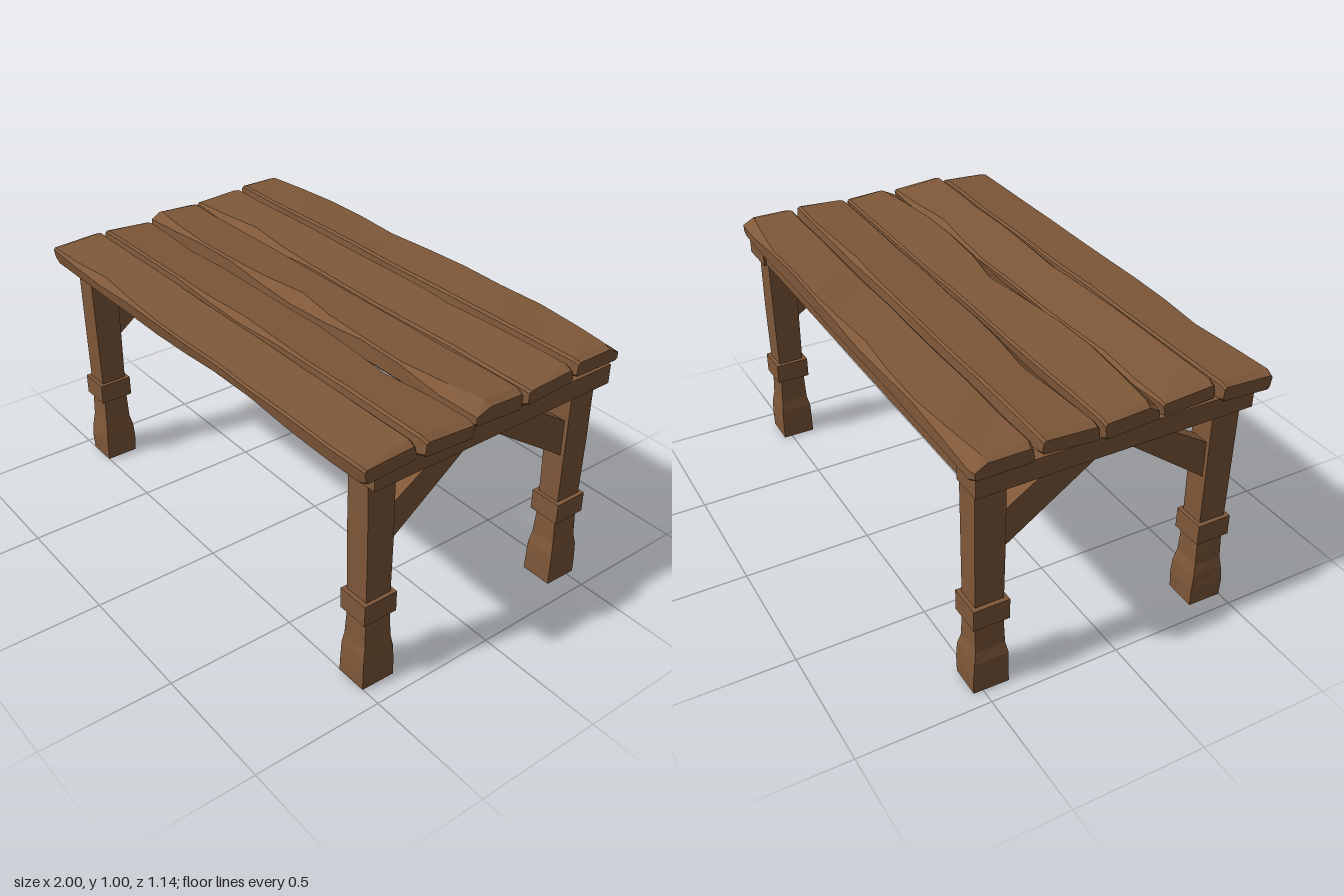
import * as THREE from 'three';

const wood = new THREE.MeshStandardMaterial({ color: 0x7f5839, flatShading: true, roughness: 0.9 });

// Small seeded generator for hand-hewn unevenness
function seeded(seed) {
  let s = seed;
  return (amount) => {
    s = (s * 16807) % 2147483647;
    return (s / 2147483647 - 0.5) * 2 * amount;
  };
}

// Skin a list of equal-length rings (counterclockwise seen from the end) and cap both ends
function loft(rings) {
  const pos = [];
  const tri = (a, b, c) => pos.push(...a, ...b, ...c);
  const n = rings[0].length;
  for (let i = 0; i < rings.length - 1; i++) {
    for (let j = 0; j < n; j++) {
      const k = (j + 1) % n;
      const a = rings[i][j], b = rings[i][k], c = rings[i + 1][k], d = rings[i + 1][j];
      tri(a, b, c);
      tri(a, c, d);
    }
  }
  const first = rings[0], last = rings[rings.length - 1];
  for (let j = 1; j < n - 1; j++) {
    tri(first[0], first[j + 1], first[j]);
    tri(last[0], last[j], last[j + 1]);
  }
  const g = new THREE.BufferGeometry();
  g.setAttribute('position', new THREE.Float32BufferAttribute(pos, 3));
  g.computeVertexNormals();
  return g;
}

function add(parent, name, geometry) {
  const mesh = new THREE.Mesh(geometry, wood);
  mesh.name = name;
  parent.add(mesh);
  return mesh;
}

function addBox(parent, name, x0, x1, y0, y1, z0, z1) {
  add(parent, name, new THREE.BoxGeometry(x1 - x0, y1 - y0, z1 - z0))
    .position.set((x0 + x1) / 2, (y0 + y1) / 2, (z0 + z1) / 2);
}

// Plank: a tilted four-cornered section swept along x, with bevelled ends and chipped top edges.
// corners are [z, y]: bottom front, bottom back, top back, top front; chips are [x, corner, depth]
function plankGeometry(x0, x1, corners, chips, seed) {
  const rnd = seeded(seed);
  const cz = corners.reduce((s, c) => s + c[0], 0) / 4;
  const cy = corners.reduce((s, c) => s + c[1], 0) / 4;
  const stations = [x0, x0 + 0.03];
  for (let x = -0.8; x < 0.9; x += 0.2) stations.push(x);
  stations.push(x1 - 0.03, x1);
  const rings = stations.map((x, i) => {
    const end = i === 0 || i === stations.length - 1;
    const quad = corners.map(([z, y]) => end
      ? [cz + (z - cz) * 0.95, cy + (y - cy) * 0.72]
      : [z + rnd(0.003), y + rnd(0.002)]);
    const ring = [];
    quad.forEach((p, k) => {
      let cut = 0.008;
      for (const [chipX, corner, depth] of chips) {
        if (corner === k) cut += depth * Math.max(0, 1 - Math.abs(x - chipX) / 0.3);
      }
      for (const step of [3, 1]) {
        const q = quad[(k + step) % 4];
        const len = Math.hypot(q[0] - p[0], q[1] - p[1]);
        const t = Math.min(cut, len * 0.45) / len;
        ring.push([x, p[1] + (q[1] - p[1]) * t, p[0] + (q[0] - p[0]) * t]);
      }
    });
    return ring;
  });
  return loft(rings);
}

// Leg: square post swelling into a heavy foot; profile is [y, half width x, half width z]
const legProfile = [
  [0, 0.062, 0.066], [0.07, 0.062, 0.067], [0.13, 0.06, 0.064], [0.175, 0.052, 0.056],
  [0.29, 0.047, 0.052], [0.6, 0.049, 0.055], [0.86, 0.049, 0.056],
];

function legGeometry(seed) {
  const rnd = seeded(seed);
  return loft(legProfile.map(([y, hx, hz]) =>
    [[-1, 1], [1, 1], [1, -1], [-1, -1]].map(([sx, sz]) =>
      [sx * hx + rnd(0.002), y, sz * hz + rnd(0.002)])));
}

// Brace: slanted bar in the z-y plane, extruded across x
function braceGeometry(outline, width) {
  const shape = new THREE.Shape(outline.map(([z, y]) => new THREE.Vector2(z, y)));
  const g = new THREE.ExtrudeGeometry(shape, { depth: width, bevelEnabled: false });
  g.translate(0, 0, -width / 2);
  g.rotateY(-Math.PI / 2);
  return g;
}

export function createModel() {
  const table = new THREE.Group();
  table.name = 'table';

  // Table top
  const top = new THREE.Group();
  top.name = 'tableTop';
  table.add(top);
  const planks = [
    [-0.985, 0.975, [[0.56, 0.895], [0.355, 0.91], [0.36, 0.98], [0.57, 0.966]],
      [[-0.6, 3, 0.02], [0.2, 0, 0.025], [0.4, 0, 0.02]]],
    [-0.965, 0.995, [[0.35, 0.92], [0.14, 0.905], [0.13, 0.97], [0.342, 0.99]],
      [[0.6, 2, 0.03], [-0.6, 2, 0.018], [0, 3, 0.015]]],
    [-0.985, 0.97, [[0.115, 0.925], [-0.097, 0.905], [-0.103, 0.985], [0.11, 1.0]],
      [[0, 3, 0.045], [0.95, 3, 0.05], [-0.97, 3, 0.03]]],
    [-0.985, 0.975, [[-0.11, 0.915], [-0.33, 0.935], [-0.325, 1.0], [-0.115, 0.985]],
      [[-0.6, 3, 0.035], [0.4, 2, 0.01]]],
    [-1.0, 0.96, [[-0.352, 0.93], [-0.568, 0.925], [-0.57, 1.0], [-0.36, 1.0]],
      [[-0.97, 2, 0.04], [-0.2, 2, 0.02], [0.95, 2, 0.04]]],
  ];
  planks.forEach(([x0, x1, corners, chips], i) =>
    add(top, 'plank', plankGeometry(x0, x1, corners, chips, 17 + i * 101)));

  // Long rails under the front and back planks
  addBox(table, 'longRail', -0.96, 0.945, 0.85, 0.912, 0.385, 0.495);
  addBox(table, 'longRail', -0.96, 0.945, 0.85, 0.915, -0.535, -0.425);

  // Each end: cross beam, two legs with collars, two braces
  const braces = [
    [[0.39, 0.555], [0.39, 0.7], [0.14, 0.855], [0, 0.855], [0, 0.845]],
    [[-0.43, 0.555], [0, 0.845], [0, 0.855], [-0.19, 0.855], [-0.43, 0.7]],
  ];
  [-0.878, 0.86].forEach((x, i) => {
    const end = new THREE.Group();
    end.name = i ? 'leftEnd' : 'rightEnd';
    table.add(end);
    const outer = i ? 0.952 : -0.97, inner = i ? 0.8 : -0.85;
    addBox(end, 'crossBeam', Math.min(outer, inner), Math.max(outer, inner), 0.845, 0.92, -0.545, 0.505);
    [0.435, -0.468].forEach((z, j) => {
      add(end, 'leg', legGeometry(31 + i * 500 + j * 90)).position.set(x, 0, z);
      addBox(end, 'legCollar', x - 0.063, x + 0.063, 0.285, 0.367, z - 0.068, z + 0.068);
      add(end, 'brace', braceGeometry(braces[j], 0.065)).position.x = x;
    });
  });

  return table;
}
